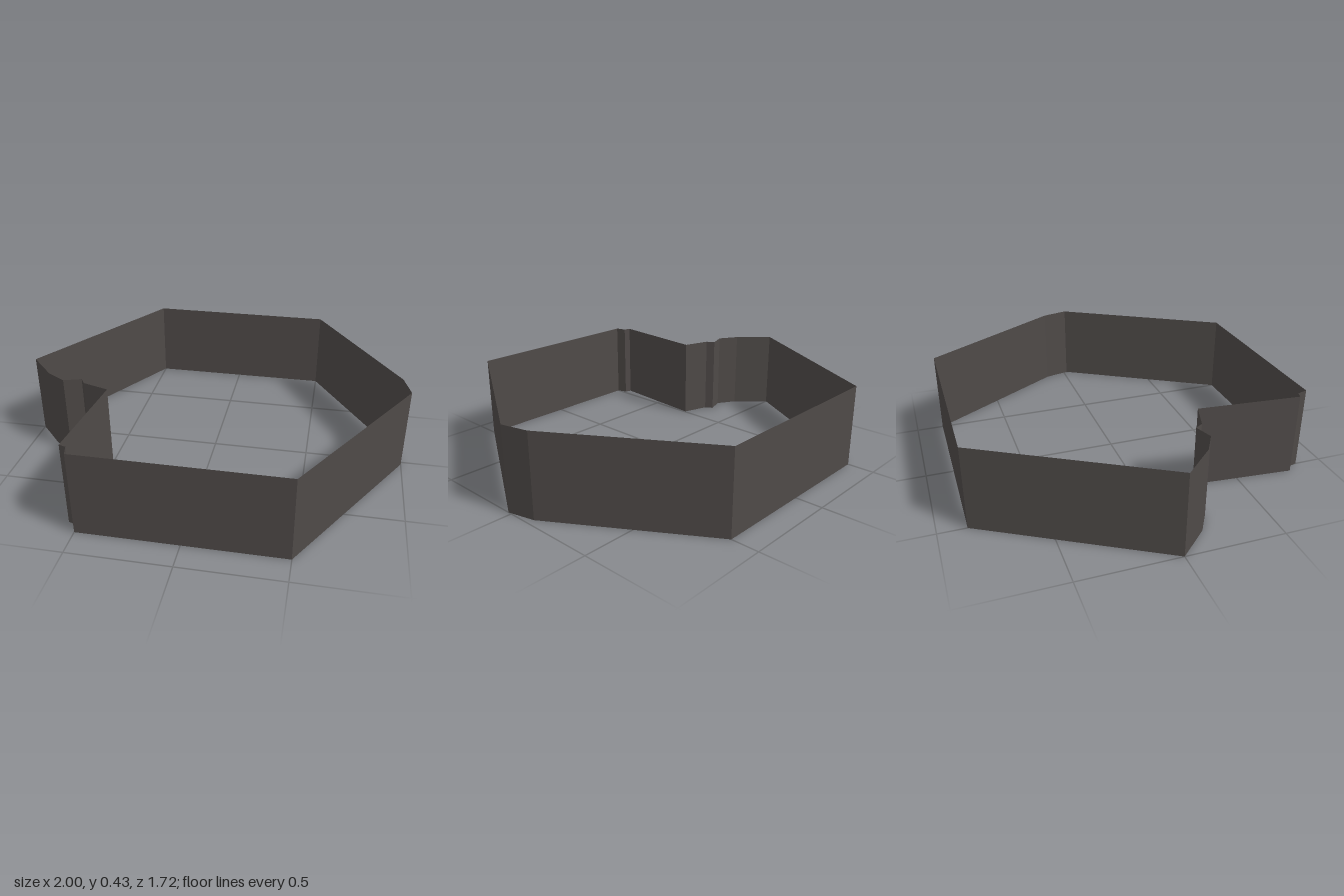
import * as THREE from 'three';

// Plan corners as [x, z], following the wall round the hexagon
const hexWall = [
  [-0.5, 0.86], [0.5, 0.86], [1, 0.02], [0.965, -0.12],
  [0.5, -0.86], [-0.5, -0.86], [-1, 0],
];
const notchWall = [
  [-1, 0], [-0.86, 0.15], [-0.76, 0.21], [-0.67, 0.18], [-0.645, 0.22],
  [-0.505, 0.265], [-0.55, 0.795], [-0.515, 0.805], [-0.5, 0.86],
];
const HEIGHT = 0.43;

// Upright flat panels, one between each pair of neighbouring corners
function makeWall(name, corners, material) {
  const wall = new THREE.Group();
  wall.name = name;
  for (let i = 0; i < corners.length - 1; i++) {
    const [x0, z0] = corners[i];
    const [x1, z1] = corners[i + 1];
    const panel = new THREE.Mesh(
      new THREE.PlaneGeometry(Math.hypot(x1 - x0, z1 - z0), HEIGHT), material);
    panel.name = `${name}Panel${i + 1}`;
    panel.position.set((x0 + x1) / 2, HEIGHT / 2, (z0 + z1) / 2);
    panel.rotation.y = Math.atan2(z0 - z1, x1 - x0);
    wall.add(panel);
  }
  return wall;
}

export function createModel() {
  const model = new THREE.Group();
  model.name = 'hexagonalWall';
  const darkStone = new THREE.MeshStandardMaterial({ color: 0x4f4a48 });
  darkStone.name = 'darkStone';
  darkStone.side = THREE.DoubleSide; // the wall is a thin open sheet
  model.add(makeWall('outerWall', hexWall, darkStone));
  model.add(makeWall('notchWall', notchWall, darkStone));
  return model;
}
